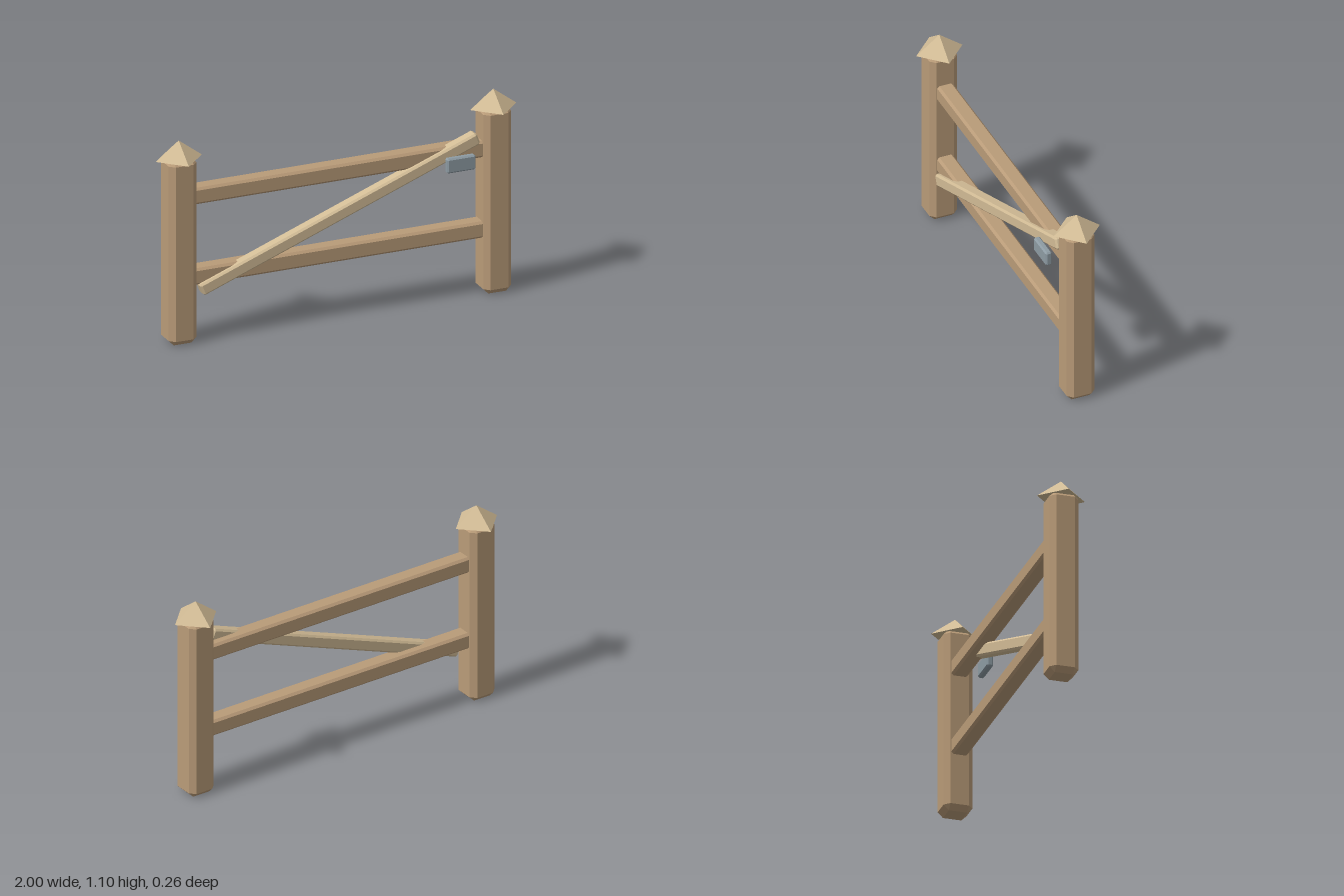
import * as THREE from 'three';
import { ConvexGeometry } from 'three/addons/geometries/ConvexGeometry.js';

const material = (color) => new THREE.MeshStandardMaterial({ color, flatShading: true });

// Box with every edge cut by a flat chamfer c
function chamferBox(w, h, d, c) {
  const points = [];
  for (const sx of [-1, 1]) for (const sy of [-1, 1]) for (const sz of [-1, 1]) {
    const x = w / 2, y = h / 2, z = d / 2;
    points.push(
      new THREE.Vector3(sx * x, sy * (y - c), sz * (z - c)),
      new THREE.Vector3(sx * (x - c), sy * y, sz * (z - c)),
      new THREE.Vector3(sx * (x - c), sy * (y - c), sz * z)
    );
  }
  return new ConvexGeometry(points);
}

export function createModel() {
  const group = new THREE.Group();
  const wood = material(0xb99b78);
  const paleWood = material(0xd2bc96);
  const metal = material(0x8d9ba3);

  const add = (name, geometry, mat, x, y, z) => {
    const mesh = new THREE.Mesh(geometry, mat);
    mesh.name = name;
    mesh.position.set(x, y, z);
    group.add(mesh);
    return mesh;
  };

  // Posts with pointed four-sided caps
  const postGeometry = chamferBox(0.154, 1.01, 0.154, 0.028);
  const capGeometry = new THREE.ConeGeometry(0.128, 0.097, 4);
  for (const [side, s] of [['left', 1], ['right', -1]]) {
    add(side + 'Post', postGeometry, wood, s * 0.872, 0.505, 0);
    add(side + 'PostCap', capGeometry, paleWood, s * 0.872, 1.0465, 0);
  }

  // Horizontal rails between the posts
  const railGeometry = chamferBox(1.64, 0.09, 0.09, 0.012);
  add('lowerRail', railGeometry, wood, 0, 0.35, 0);
  add('upperRail', railGeometry, wood, 0, 0.79, 0);

  // Diagonal brace across the front of the rails
  const brace = add('diagonalBrace', chamferBox(1.64, 0.067, 0.066, 0.01), paleWood, -0.003, 0.571, 0.034);
  brace.rotation.z = Math.atan2(0.5825, 1.5325);

  // Latch plate
  add('latch', chamferBox(0.16, 0.08, 0.035, 0.008), metal, 0.65, 0.755, 0.0905);

  return group;
}
